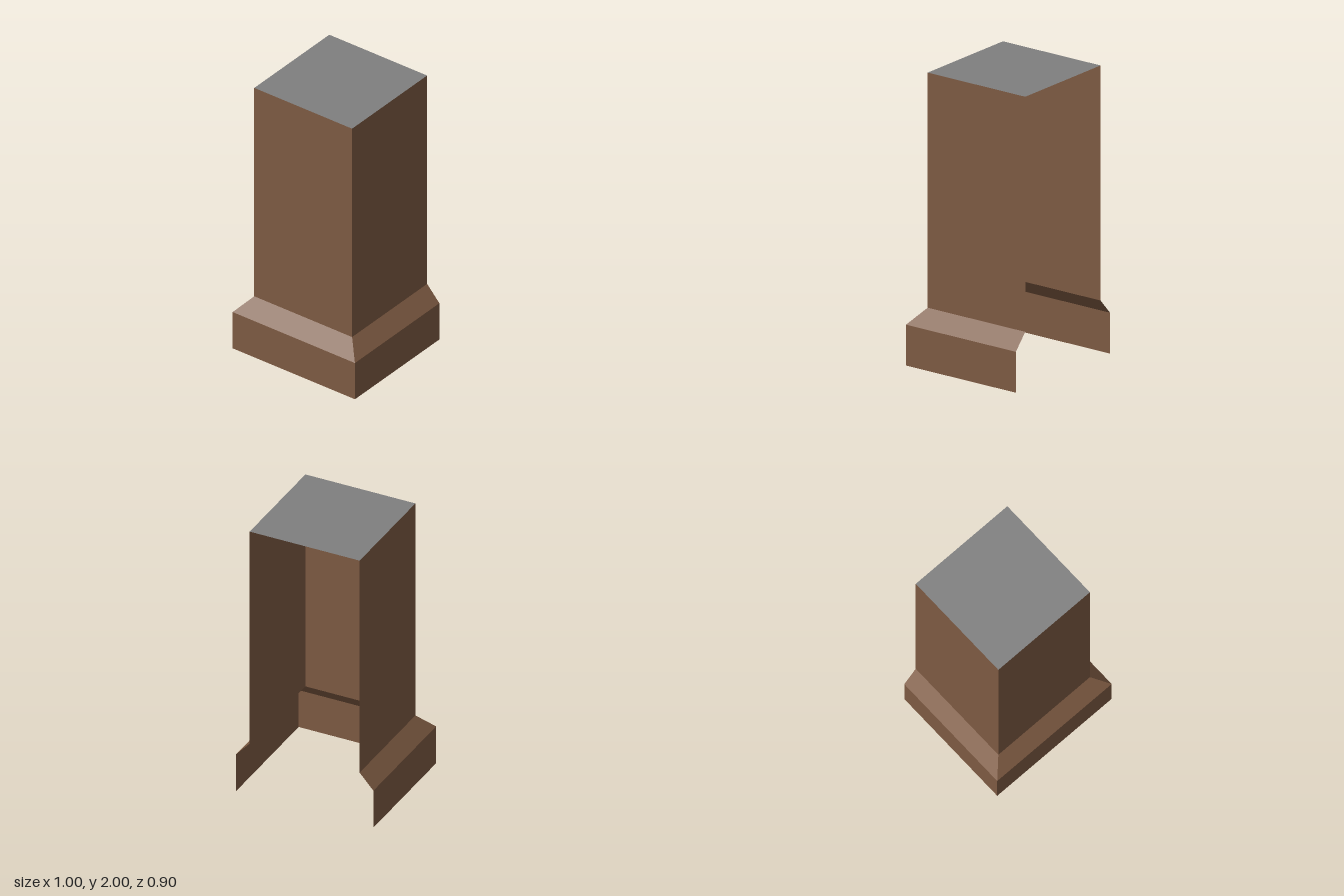
import * as THREE from 'three';

const BACK = -0.45;

// Three-sided outline, open at the back, at height y
const outline = (halfWidth, front, y) => [
  [-halfWidth, y, BACK], [-halfWidth, y, front], [halfWidth, y, front], [halfWidth, y, BACK],
];

// Flat wall panels joining two outlines
function band(name, lower, upper, material) {
  const positions = [];
  for (let i = 0; i < 3; i++) {
    const [a, b, c, d] = [lower[i], lower[i + 1], upper[i + 1], upper[i]];
    positions.push(...a, ...b, ...c, ...a, ...c, ...d);
  }
  const geometry = new THREE.BufferGeometry();
  geometry.setAttribute('position', new THREE.Float32BufferAttribute(positions, 3));
  geometry.computeVertexNormals();
  const mesh = new THREE.Mesh(geometry, material);
  mesh.name = name;
  return mesh;
}

export function createModel() {
  const group = new THREE.Group();
  group.name = 'chimney';

  const brown = new THREE.MeshStandardMaterial({ color: 0x7d5a42, side: THREE.DoubleSide });
  brown.name = 'brown brick';
  const grey = new THREE.MeshStandardMaterial({ color: 0x7f7f7f, side: THREE.DoubleSide });
  grey.name = 'grey cap';

  // Outlines from the ground up
  const ground = outline(0.5, 0.45, 0);
  const ledge = outline(0.5, 0.45, 0.28);
  const shoulder = outline(0.4, 0.35, 0.39);
  const top = outline(0.4, 0.35, 2);

  group.add(
    band('base', ground, ledge, brown),
    band('slopedShoulder', ledge, shoulder, brown),
    band('shaft', shoulder, top, brown),
  );

  // Flat lid
  const lid = new THREE.Mesh(new THREE.PlaneGeometry(0.8, 0.8).rotateX(-Math.PI / 2), grey);
  lid.position.set(0, 2, -0.05);
  lid.name = 'topCap';
  group.add(lid);

  return group;
}
